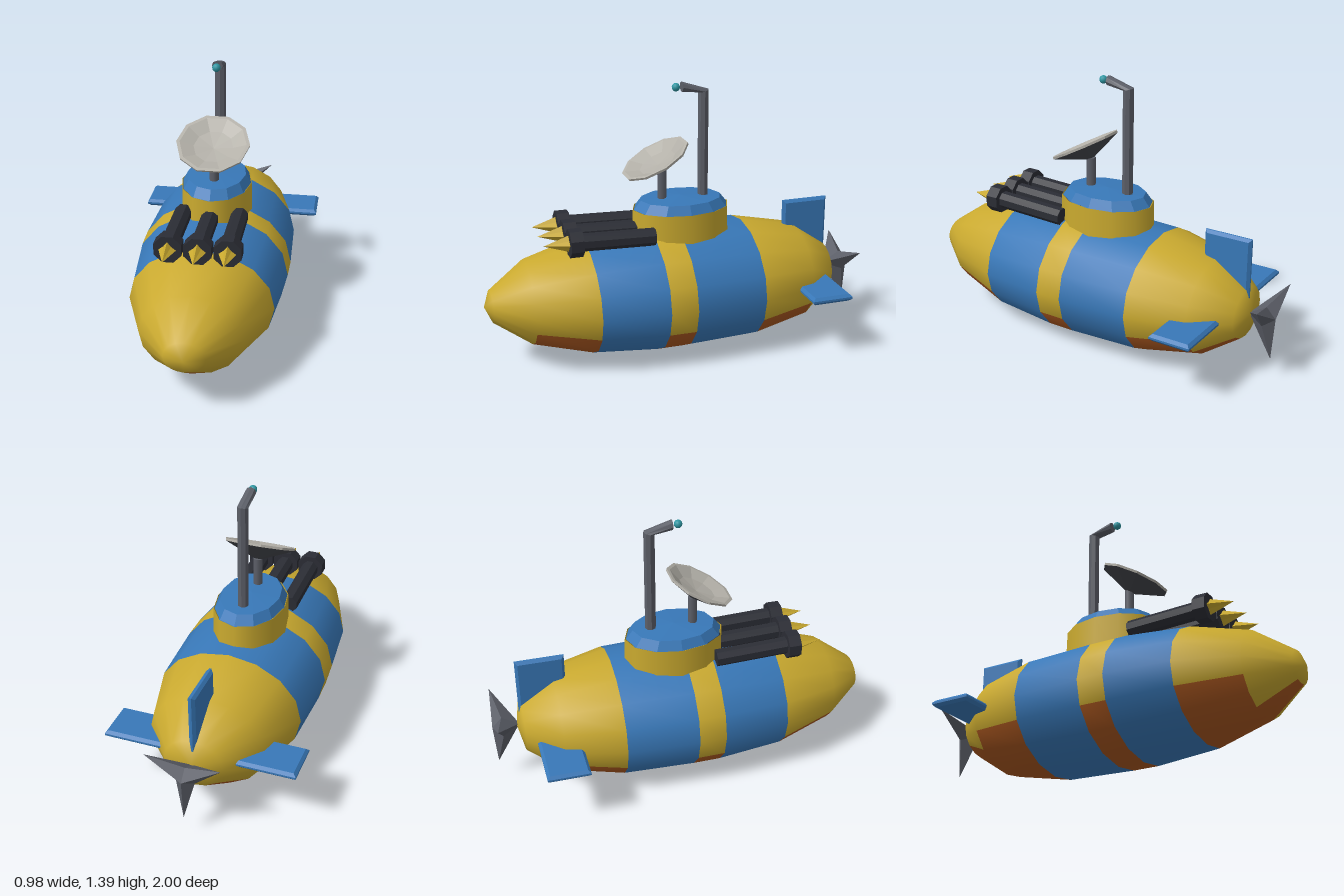
import * as THREE from 'three';

const mat = (color, flat = false) => new THREE.MeshStandardMaterial({ color, flatShading: flat, side: THREE.DoubleSide });
const YELLOW = 0xc9a92f, BLUE = 0x3878b8, ORANGE = 0xa8561f, DARK = 0x2b2d35, STEEL = 0x5c5f68;

function mesh(name, geometry, material, parent, x = 0, y = 0, z = 0) {
  const m = new THREE.Mesh(geometry, material);
  m.name = name;
  m.position.set(x, y, z);
  parent.add(m);
  return m;
}

// Joins cross-section rings of [x, y, z] points; visit(i, j, corners) sees each quad
function loft(rings, visit) {
  const n = rings[0].length, index = [];
  for (let i = 0; i < rings.length - 1; i++) {
    for (let j = 0; j < n; j++) {
      const a = i * n + j, b = i * n + (j + 1) % n;
      const quad = [a, b, b + n, a, b + n, a + n];
      index.push(...quad);
      if (visit) visit(i, j, quad);
    }
  }
  const g = new THREE.BufferGeometry();
  g.setAttribute('position', new THREE.Float32BufferAttribute(rings.flat(2), 3));
  g.setIndex(index);
  g.computeVertexNormals();
  return g;
}

const ring = (n, point) => Array.from({ length: n }, (_, j) => {
  const t = j / n * Math.PI * 2;
  return point(Math.cos(t), Math.sin(t), j);
});

// Striped hull: one loft shared by three colour meshes
function addHull(group) {
  const sides = 16, cy = 0.325;
  // z, half width, half height, from stern to bow
  const stations = [
    [-0.875, 0, 0], [-0.845, 0.15, 0.13], [-0.67, 0.3, 0.25], [-0.37, 0.38, 0.31],
    [0, 0.395, 0.32], [0.14, 0.393, 0.32], [0.48, 0.36, 0.29], [0.78, 0.25, 0.21],
    [0.965, 0.1, 0.08], [1, 0, 0],
  ];
  const blueBands = [3, 5];
  // orange keel: number of sides from the bottom centre, for each band
  const keel = [0, 2, 3, 0, 3, 0, 3, 1, 0];
  const parts = { hullYellow: [], hullBlue: [], hullKeel: [] };
  const rings = stations.map(([z, w, h]) => ring(sides, (c, s) => [w * c, cy + h * s, z]));
  const base = loft(rings, (i, j, quad) => {
    const fromBottom = Math.abs(j + 0.5 - 12);
    const part = blueBands.includes(i) ? 'hullBlue' : fromBottom < keel[i] ? 'hullKeel' : 'hullYellow';
    parts[part].push(...quad);
  });
  for (let j = 0; j < sides; j++) {
    base.attributes.normal.setXYZ(j, 0, 0, -1);
    base.attributes.normal.setXYZ((stations.length - 1) * sides + j, 0, 0, 1);
  }
  const colors = { hullYellow: YELLOW, hullBlue: BLUE, hullKeel: ORANGE };
  for (const name in parts) {
    const g = new THREE.BufferGeometry();
    g.setAttribute('position', base.attributes.position);
    g.setAttribute('normal', base.attributes.normal);
    g.setIndex(parts[name]);
    mesh(name, g, mat(colors[name]), group);
  }
}

const lathe = (pts, n, start = 0) => new THREE.LatheGeometry(pts.map(p => new THREE.Vector2(...p)), n, start);

// Oval tower with a bevelled lid
function addTower(group) {
  const wall = mesh('towerWall', lathe([[0.186, 0.5], [0.18, 0.752]], 12), mat(YELLOW), group, 0, 0, -0.035);
  const lid = mesh('towerLid', lathe([[0.176, 0.75], [0.15, 0.797], [0, 0.808]], 12), mat(BLUE, true), group, 0, 0, -0.035);
  wall.scale.z = lid.scale.z = 1.42;
}

function addPeriscope(group) {
  const r = 0.028, z = -0.155;
  const rings = [
    ring(8, (c, s) => [r * c, 0.77, z - r * s]),
    ring(8, (c, s) => [r * c, 1.3425 + 0.0075 * s, z - r * s]),
    ring(8, (c, s) => [r * c, 1.37 + 0.026 * s, -0.04]),
    ring(8, () => [0, 1.37, -0.04]),
  ];
  mesh('periscope', loft(rings), mat(STEEL, true), group);
  mesh('periscopeLens', new THREE.SphereGeometry(0.021, 12, 8), mat(0x2f97a3), group, 0, 1.37, -0.01);
}

// Tilted dish on a short mast
function addDish(group) {
  mesh('dishMast', new THREE.CylinderGeometry(0.024, 0.024, 0.17, 8), mat(STEEL), group, 0, 0.865, 0.065);
  const dish = new THREE.Group();
  dish.name = 'dish';
  dish.position.set(0, 1.017, 0.102);
  dish.rotation.x = 0.485;
  group.add(dish);
  mesh('dishBack', lathe([[0, -0.08], [0.02, -0.08], [0.183, -0.012]], 10, Math.PI / 2), mat(0x44464c, true), dish);
  mesh('dishFace', lathe([[0.183, -0.012], [0.185, 0], [0.168, 0], [0.1, -0.028], [0, -0.042]], 10, Math.PI / 2),
    mat(0xb3b0a8, true), dish);
}

// One launcher tube with collar and star-shaped spike
function addLauncher(group, x) {
  const launcher = new THREE.Group();
  launcher.name = 'launcher';
  launcher.position.set(x, 0.666, 0.56);
  group.add(launcher);
  const drum = (name, r, z0, z1) => {
    const g = new THREE.CylinderGeometry(r, r, z1 - z0, 8).rotateY(Math.PI / 8).rotateX(Math.PI / 2);
    return mesh(name, g, mat(DARK, true), launcher, 0, 0, (z0 + z1) / 2);
  };
  const tube = drum('launcherTube', 0.045, -0.41, -0.02);
  tube.rotation.x = -0.035;
  tube.position.y = -0.008;
  drum('launcherCollar', 0.072, -0.035, 0.03);
  const star = (k, z) => ring(8, (c, s, j) => {
    const r = (j % 2 ? 0.026 : 0.042) * k;
    return [r * c, r * s, z];
  });
  mesh('spike', loft([star(0.9, 0.02), star(1, 0.032), star(0, 0.155)]), mat(YELLOW, true), launcher);
}

// Chamfered slab lying in the XY plane
function slab(w, h, t) {
  const b = 0.014, s = new THREE.Shape();
  const x = w / 2 - b, y = h / 2 - b;
  s.moveTo(-x, -y).lineTo(x, -y).lineTo(x, y).lineTo(-x, y).closePath();
  const depth = t - 2 * b;
  return new THREE.ExtrudeGeometry(s, { depth, bevelSize: b, bevelThickness: b, bevelSegments: 1 })
    .translate(0, 0, -depth / 2);
}

function addFins(group) {
  for (const side of [1, -1]) {
    mesh(side > 0 ? 'leftFin' : 'rightFin', slab(0.32, 0.215, 0.038).rotateX(Math.PI / 2),
      mat(BLUE, true), group, side * 0.328, 0.329, -0.686);
  }
  mesh('rudder', slab(0.25, 0.31, 0.036).rotateY(Math.PI / 2), mat(BLUE, true), group, 0, 0.56, -0.732);
}

// Three pointed blades swept back from the hub
function addPropeller(group) {
  const blades = ring(6, (c, s, j) => {
    const r = j % 2 ? 0.22 : 0.055;
    return [r * s, -r * -c, j % 2 ? -0.985 : -0.95];
  }).map(([x, y, z]) => [-x, y, z]);
  const rings = [ring(6, () => [0, 0, -1]), blades, ring(6, () => [0, 0, -0.86])];
  mesh('propeller', loft(rings), mat(STEEL, true), group, 0, 0.328, 0);
}

export function createModel() {
  const group = new THREE.Group();
  group.name = 'submarine';
  addHull(group);
  addTower(group);
  addPeriscope(group);
  addDish(group);
  for (const x of [-0.143, 0, 0.143]) addLauncher(group, x);
  addFins(group);
  addPropeller(group);
  return group;
}
